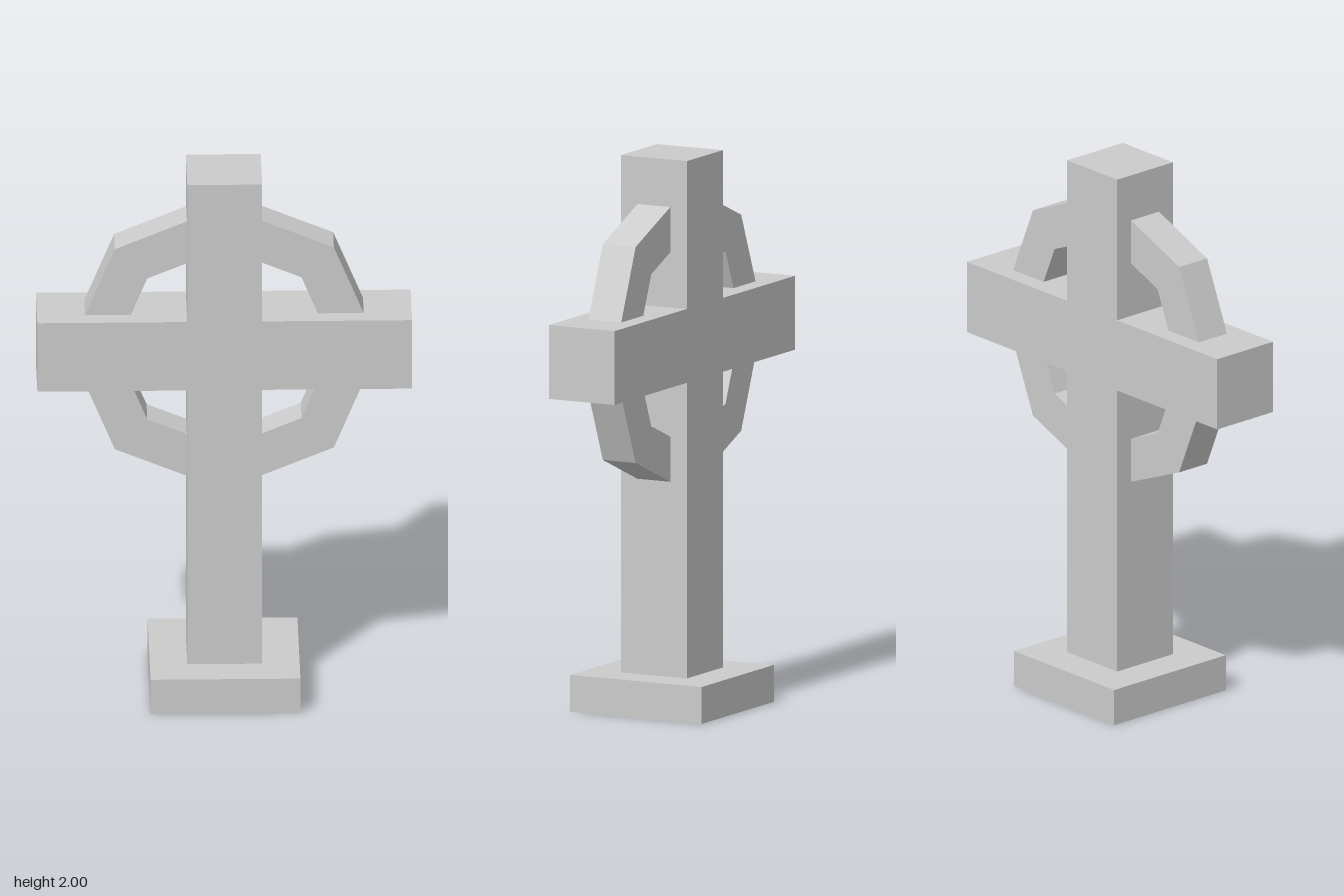
import * as THREE from 'three';

const material = new THREE.MeshStandardMaterial({ color: 0xcccccc, flatShading: true });

// Extrude a flat outline, centred on z = 0
function slab(name, shape, depth) {
  const geometry = new THREE.ExtrudeGeometry(shape, { depth, bevelEnabled: false });
  geometry.translate(0, 0, -depth / 2);
  const mesh = new THREE.Mesh(geometry, material);
  mesh.name = name;
  return mesh;
}

// Regular octagon with corners on the axes
function octagon(radius) {
  return Array.from({ length: 8 }, (_, i) => {
    const a = (i * Math.PI) / 4;
    return new THREE.Vector2(radius * Math.cos(a), radius * Math.sin(a));
  });
}

export function createModel() {
  const group = new THREE.Group();
  group.name = 'ringedCross';

  const h = 0.1333; // half thickness of the beams
  const arm = 0.6667; // reach of the arms
  const centerY = 1.3333;

  // Square plinth
  const base = new THREE.Mesh(new THREE.BoxGeometry(4 * h, h, 4 * h), material);
  base.name = 'base';
  base.position.y = h / 2;
  group.add(base);

  // Post and arms as one solid
  const outline = [
    [-h, h], [h, h], [h, centerY - h], [arm, centerY - h],
    [arm, centerY + h], [h, centerY + h], [h, 2], [-h, 2],
    [-h, centerY + h], [-arm, centerY + h], [-arm, centerY - h], [-h, centerY - h],
  ].map(([x, y]) => new THREE.Vector2(x, y));
  group.add(slab('cross', new THREE.Shape(outline), 2 * h));

  // Eight-sided ring passing through the beams
  const ringShape = new THREE.Shape(octagon(0.551));
  ringShape.holes.push(new THREE.Path(octagon(0.388)));
  const ring = slab('ring', ringShape, h);
  ring.position.y = centerY;
  group.add(ring);

  return group;
}
